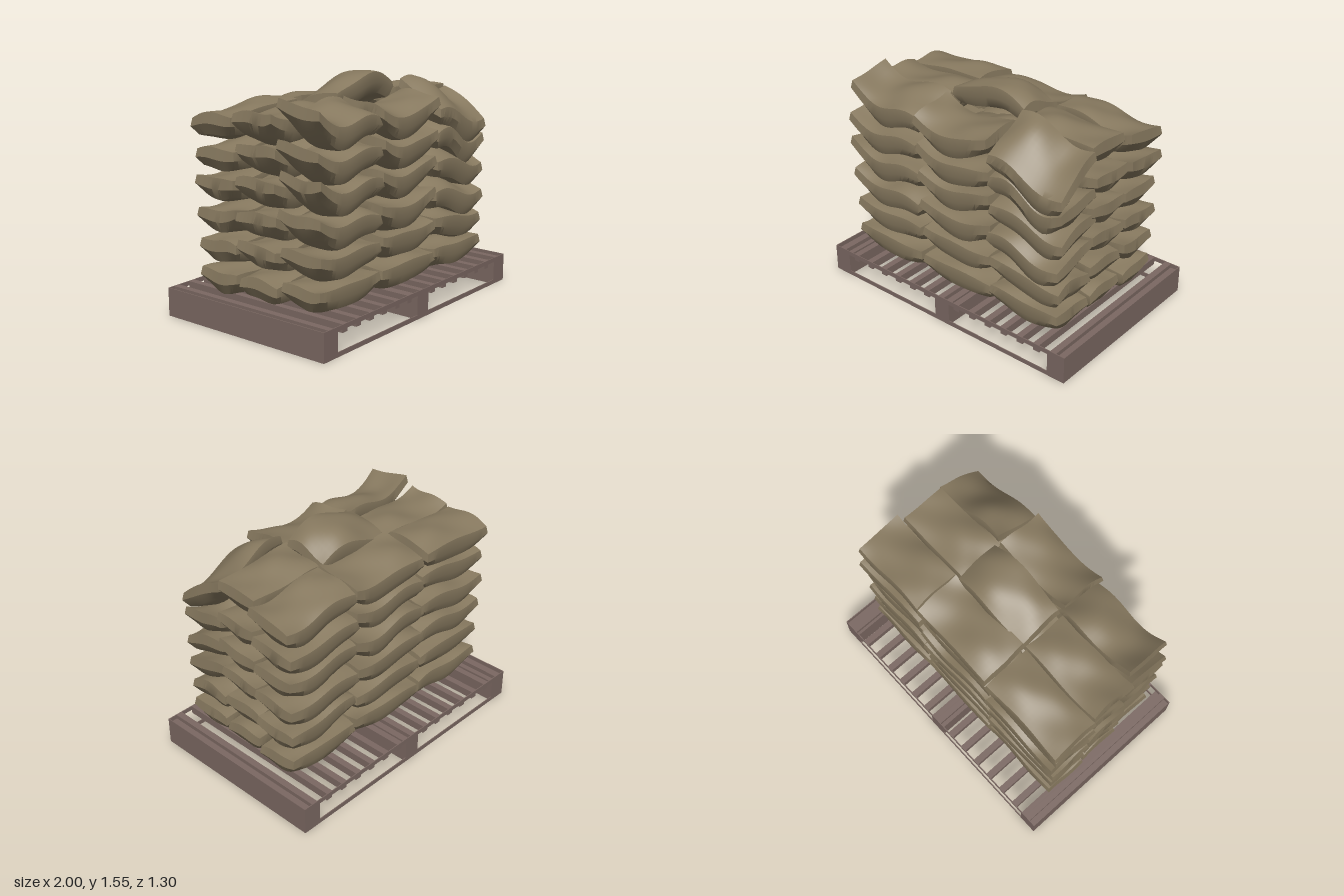
import * as THREE from 'three';
import { toCreasedNormals } from 'three/addons/utils/BufferGeometryUtils.js';

const wood = new THREE.MeshStandardMaterial({ color: 0x7b6862 });
const sack = new THREE.MeshStandardMaterial({ color: 0x87795f });

function box(name, w, h, d, x, y, z) {
  const m = new THREE.Mesh(new THREE.BoxGeometry(w, h, d), wood);
  m.name = name;
  m.position.set(x, y, z);
  return m;
}

// Seeded random in -1..1
function seeded(seed) {
  let s = seed;
  return () => {
    s = (s * 16807) % 2147483647;
    return (s / 2147483647) * 2 - 1;
  };
}

// Front and back board of the pallet, with two openings
function endBoard(z) {
  const shape = new THREE.Shape([[-1, 0], [1, 0], [1, 0.19], [-1, 0.19]].map((c) => new THREE.Vector2(...c)));
  for (const [a, b] of [[-0.87, -0.06], [0.06, 0.87]]) {
    shape.holes.push(new THREE.Path([[a, 0.03], [a, 0.16], [b, 0.16], [b, 0.03]].map((c) => new THREE.Vector2(...c))));
  }
  const m = new THREE.Mesh(new THREE.ExtrudeGeometry(shape, { depth: 0.006, bevelEnabled: false }), wood);
  m.name = 'endBoard';
  m.position.z = z;
  return m;
}

// Pallet: three bearers, evenly spaced slats and thin boards all round
function createPallet() {
  const g = new THREE.Group();
  g.name = 'pallet';
  for (const [x, w] of [[-0.932, 0.124], [0, 0.12], [0.932, 0.124]]) {
    g.add(box('bearer', w, 0.16, 1.288, x, 0.08, 0));
  }
  for (let i = 0; i < 15; i++) {
    g.add(box('slat', 0.045, 0.054, 1.288, -0.009 + (i - 7) * 0.1315, 0.162, 0));
  }
  for (const s of [-1, 1]) g.add(box('sideBoard', 0.006, 0.19, 1.288, s * 0.997, 0.095, 0));
  g.add(endBoard(0.644), endBoard(-0.65));
  return g;
}

// Sack: a subdivided box with a seam ridge, an inset base and a draped surface
function createSack(w, d, drape, k, kTilt, rand, y0) {
  const geo = new THREE.BoxGeometry(2, 2, 2, 16, 2, 12);
  const p = geo.attributes.position;
  const [sag, tiltU, tiltV, waveU, sagV] = drape;
  const r = Array.from({ length: 6 }, rand);
  const lift = [rand(), rand(), rand(), rand()].map((n) => 0.015 + n * 0.018);
  for (let i = 0; i < p.count; i++) {
    const u = p.getX(i), t = p.getY(i), v = p.getZ(i);
    // Side profile: rim slightly in, seam widest, base well in
    const inset = t > 0.5 ? 0.008 : t > -0.5 ? 0 : 0.032;
    const edgeU = 1 - 0.02 * (1 - v * v) + 0.02 * r[0] * Math.sin(3 * v + r[1] * 3);
    const edgeV = 1 - 0.02 * (1 - u * u) + 0.045 * r[2] * Math.sin(3 * u + r[3] * 3);
    const x = u * (w / 2 - inset * 1.3) * edgeU;
    const z = v * (d / 2 - inset) * edgeV;
    // Drape over the sacks below, with the corners pulled upward
    let y = k * (sag * (u * u - 0.4) + tiltU * u
      + waveU * Math.sin(Math.PI * u) + sagV * (v * v - 0.4)) + kTilt * tiltV * v;
    y += lift[(u > 0 ? 1 : 0) + (v > 0 ? 2 : 0)] * u * u * v * v;
    y += 0.01 * Math.sin(4 * u + r[4] * 3) * Math.cos(3 * v + r[5] * 3);
    // Thick in the middle, thinner along the rim and at the corners
    const half = 0.053 + 0.02 * (1 - u * u * v * v) + 0.027 * (1 - u * u) * (1 - v * v);
    p.setXYZ(i, x, Math.max(y + t * half, 0.185 - y0), z);
  }
  const m = new THREE.Mesh(toCreasedNormals(geo, 0.65), sack);
  m.name = 'sack';
  return m;
}

// Each stack: x, z, width, depth, top lift, drape [sag, tiltU, tiltV, waveU, sagV]
const STACKS = [
  [-0.58, 0.368, 0.61, 0.335, 0.02, [0.05, -0.045, -0.035, 0.035, 0.0]],
  [0.02, 0.368, 0.6, 0.335, 0.0, [0.08, 0.0, -0.025, 0.012, 0.0]],
  [0.58, 0.372, 0.57, 0.345, -0.03, [0.015, -0.045, -0.1, -0.045, -0.015]],
  [-0.595, 0.04, 0.63, 0.33, 0.0, [0.04, -0.015, 0.0, 0.025, 0.0]],
  [0.01, 0.04, 0.6, 0.33, 0.11, [-0.06, 0.015, 0.045, 0.02, -0.02]],
  [0.58, 0.04, 0.585, 0.325, 0.02, [0.012, -0.01, 0.01, -0.012, 0.0]],
  [-0.61, -0.28, 0.63, 0.33, 0.0, [0.01, 0.02, 0.025, 0.015, 0.0]],
  [0.0, -0.28, 0.64, 0.33, -0.005, [0.02, 0.01, 0.02, -0.025, 0.0]],
  [0.6, -0.28, 0.59, 0.33, -0.02, [0.015, -0.015, 0.025, -0.02, 0.0]],
];
// Drape and depth tilt of each layer, from the bottom up
const LAYERS = [[0.12, 0], [0.4, 0.1], [0.65, 0.3], [0.8, 0.3], [0.9, 0.4], [1, 1]];

export function createModel() {
  const model = new THREE.Group();
  model.name = 'loadedPallet';
  model.add(createPallet());
  const rand = seeded(4711);
  for (const [x, z, w, d, top, drape] of STACKS) {
    const stack = new THREE.Group();
    stack.name = 'sackStack';
    LAYERS.forEach(([k, kTilt], i) => {
      const y = 0.278 + i * 0.203 + top * (i / 5) ** 2 + (i ? rand() * 0.006 : 0);
      // Lower layers sit tidily, the upper ones are looser
      const loose = i * 0.004;
      const shape = drape.map((n) => n + rand() * loose * 0.4);
      const trim = i < 2 ? 0.018 : 0;
      const s = createSack(w - trim, d - trim, shape, k, kTilt, rand, y);
      s.position.set(x + rand() * loose, y, z + rand() * loose);
      s.rotation.y = rand() * 0.02;
      stack.add(s);
    });
    model.add(stack);
  }
  return model;
}
